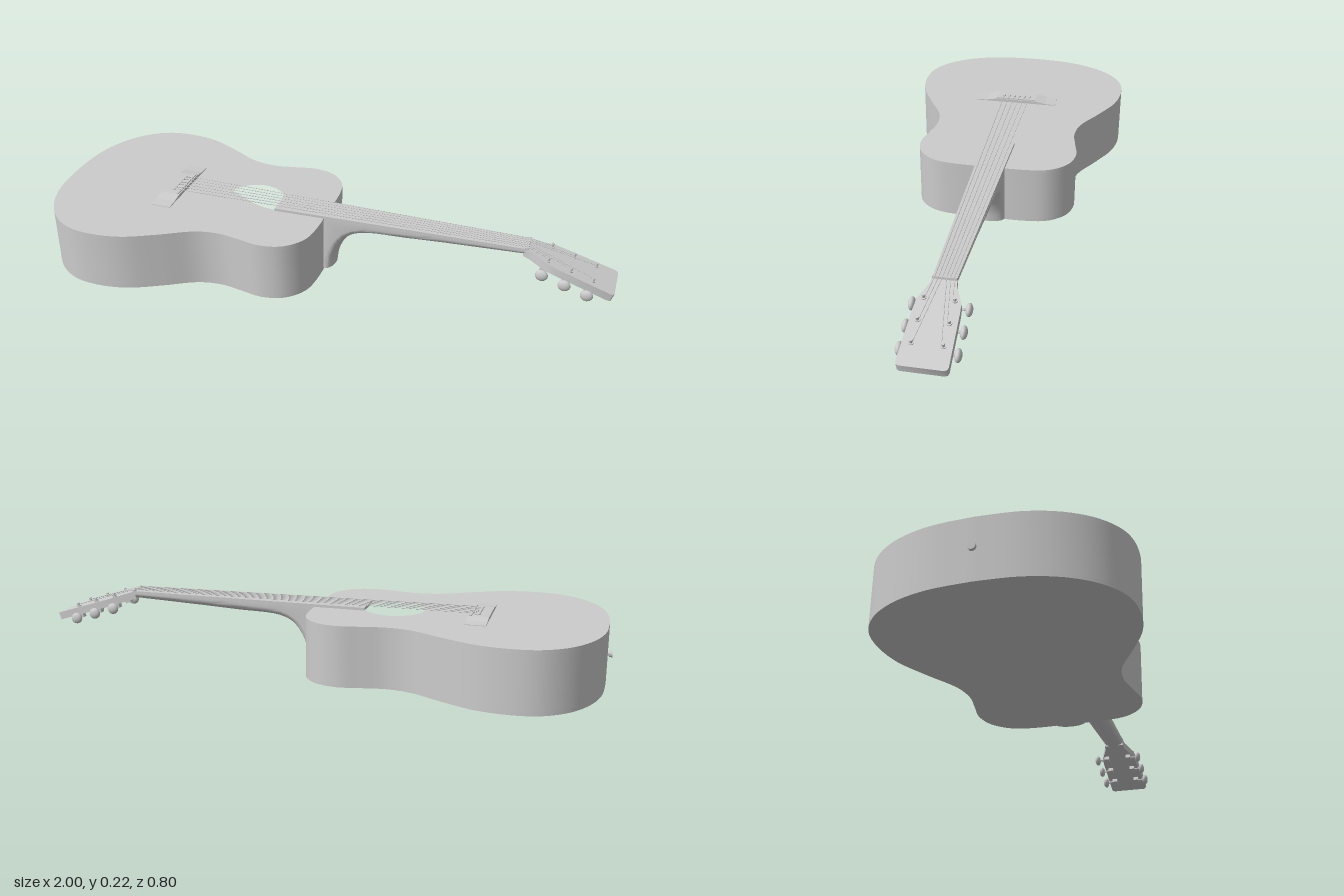
import * as THREE from 'three';
import { toCreasedNormals } from 'three/addons/utils/BufferGeometryUtils.js';

const material = new THREE.MeshStandardMaterial({ color: 0xcccccc });
const TOP = 0.207; // height of the soundboard

function add(parent, name, geometry, x = 0, y = 0, z = 0) {
  const mesh = new THREE.Mesh(geometry, material);
  mesh.name = name;
  mesh.position.set(x, y, z);
  parent.add(mesh);
  return mesh;
}

// Half outline of [x, z] pairs, mirrored across z = 0
const mirror = (half) =>
  [...half, ...half.filter((p) => p[1] > 1e-4).reverse().map(([x, z]) => [x, -z])]
    .map(([x, z]) => new THREE.Vector2(x, z));

// Flat plate lying in the xz plane, growing upwards from its base
function plate(points, thickness, holes = []) {
  const shape = new THREE.Shape(points);
  shape.holes.push(...holes);
  const geo = new THREE.ExtrudeGeometry(shape, { depth: thickness, bevelEnabled: false, curveSegments: 32 });
  return toCreasedNormals(geo.rotateX(-Math.PI / 2), 0.6);
}

// Thin cylinder between two points
function rod(parent, name, a, b, radius, sides = 8) {
  const from = new THREE.Vector3(...a), dir = new THREE.Vector3(...b).sub(from);
  const mesh = add(parent, name, new THREE.CylinderGeometry(radius, radius, dir.length(), sides));
  mesh.position.copy(from).addScaledVector(dir, 0.5);
  mesh.quaternion.setFromUnitVectors(new THREE.Vector3(0, 1, 0), dir.normalize());
  return mesh;
}

// Neck and heel: D-shaped sections from an outer point to an inner anchor
function neckGeometry() {
  const outer = new THREE.CatmullRomCurve3([
    [0.035, 0.004], [0.042, 0.05], [0.062, 0.1], [0.095, 0.14], [0.145, 0.16], [0.3, 0.168], [0.5, 0.1775], [0.705, 0.187],
  ].map(([x, y]) => new THREE.Vector3(x, y, 0)));
  const anchors = [
    [0.004, 0.004], [0.004, 0.06], [0.004, 0.13], [0.004, TOP], [0.11, TOP], [0.29, TOP], [0.5, TOP], [0.705, TOP],
  ];
  const steps = 42, arc = 12, count = arc + 3;
  const pos = [], index = [];
  for (let i = 0; i <= steps; i++) {
    const t = i / steps, f = t * (anchors.length - 1);
    const k = Math.min(Math.floor(f), anchors.length - 2), m = f - k;
    const P = outer.getPoint(t);
    const ax = THREE.MathUtils.lerp(anchors[k][0], anchors[k + 1][0], m);
    const ay = THREE.MathUtils.lerp(anchors[k][1], anchors[k + 1][1], m);
    const dist = Math.hypot(ax - P.x, ay - P.y);
    const depth = Math.min(0.028, dist * 0.85) / dist;
    const w = 0.053 - 0.016 * Math.max(0, P.x) / 0.705;
    pos.push(ax, ay, w);
    for (let j = 0; j <= arc; j++) {
      const a = (j / arc) * Math.PI, s = depth * (1 - Math.sin(a));
      pos.push(P.x + (ax - P.x) * s, P.y + (ay - P.y) * s, w * Math.cos(a));
    }
    pos.push(ax, ay, -w);
  }
  for (let i = 0; i < steps; i++) {
    for (let j = 0; j < count; j++) {
      const a = i * count + j, b = i * count + ((j + 1) % count);
      index.push(a, b, a + count, b, b + count, a + count);
    }
  }
  const end = steps * count;
  for (let j = 1; j < count - 1; j++) {
    index.push(0, j + 1, j, end, end + j, end + j + 1);
  }
  const geo = new THREE.BufferGeometry();
  geo.setAttribute('position', new THREE.Float32BufferAttribute(pos, 3));
  geo.setIndex(index);
  return toCreasedNormals(geo, 0.6);
}

export function createModel() {
  const guitar = new THREE.Group();
  guitar.name = 'guitar';

  // Hollow body: back, sides and soundboard with a round hole
  const curve = new THREE.SplineCurve([
    [-0.985, 0], [-0.976, 0.13], [-0.943, 0.24], [-0.885, 0.328], [-0.805, 0.384], [-0.71, 0.4],
    [-0.6, 0.384], [-0.49, 0.332], [-0.385, 0.275], [-0.3, 0.26], [-0.22, 0.272], [-0.14, 0.285],
    [-0.065, 0.265], [-0.012, 0.205], [0.004, 0.12], [0.004, 0],
  ].map((p) => new THREE.Vector2(...p)));
  const outline = mirror(curve.getPoints(75).map((p) => [p.x, Math.max(0, p.y)]));
  const inner = outline.map((p) => new THREE.Vector2(-0.5 + (p.x + 0.5) * 0.98, p.y * 0.98));
  const skin = 0.012;
  add(guitar, 'back', plate(outline, skin));
  add(guitar, 'sides', plate(outline, TOP - 2 * skin, [new THREE.Path(inner)]), 0, skin);
  const hole = new THREE.Path().absarc(-0.27, 0, 0.104, 0, Math.PI * 2, true);
  add(guitar, 'soundboard', plate(outline, skin, [hole]), 0, TOP - skin);

  // End pin
  rod(guitar, 'endPinStem', [-0.982, 0.105, 0], [-0.993, 0.105, 0], 0.007, 16);
  rod(guitar, 'endPin', [-0.99, 0.105, 0], [-1, 0.105, 0], 0.012, 16);

  // Bridge with thin wings, saddle and pins
  const wings = [[0.155, 0], [0.155, 0.002], [0.115, 0.004], [0.075, 0.011]];
  const profile = new THREE.Shape(mirror(wings.map(([z, y]) => [y, z])).map((p) => new THREE.Vector2(p.y, p.x)));
  const bridge = new THREE.ExtrudeGeometry(profile, { depth: 0.07, bevelEnabled: false });
  add(guitar, 'bridge', bridge.rotateY(Math.PI / 2), -0.602, TOP);
  add(guitar, 'saddle', new THREE.BoxGeometry(0.008, 0.012, 0.15), -0.54, TOP + 0.009);

  // Neck, fretboard and nut
  add(guitar, 'neck', neckGeometry());
  add(guitar, 'fretboard', plate(mirror([[-0.175, 0.056], [0.7, 0.037]]), 0.009), 0, TOP);
  add(guitar, 'nut', new THREE.BoxGeometry(0.01, 0.016, 0.074), 0.702, 0.212);

  // Headstock, tilted back from the nut
  const head = new THREE.Group();
  head.name = 'headstock';
  head.position.set(0.7, 0.214, 0);
  head.rotation.z = -0.3;
  guitar.add(head);
  const headOutline = mirror([[0, 0.037], [0.025, 0.041], [0.085, 0.066], [0.12, 0.069], [0.3, 0.075], [0.309, 0.072], [0.313, 0.064]]);
  add(head, 'headPlate', plate(headOutline, 0.027), 0, -0.027);

  // Tuners: post, gear housing, shaft and knob on both sides
  const tunerX = [0.078, 0.157, 0.235];
  for (const side of [-1, 1]) {
    for (const x of tunerX) {
      const z = side * 0.046;
      rod(head, 'tunerPost', [x, -0.03, z], [x, 0.014, z], 0.005, 12);
      rod(head, 'tunerCollar', [x, -0.001, z], [x, 0.003, z], 0.009, 16);
      add(head, 'gearHousing', new THREE.BoxGeometry(0.022, 0.016, 0.02), x, -0.034, z);
      rod(head, 'tunerShaft', [x, -0.036, z], [x, -0.036, side * 0.084], 0.004);
      add(head, 'tunerKnob', new THREE.SphereGeometry(1, 16, 12), x, -0.036, side * 0.085).scale.set(0.021, 0.02, 0.011);
    }
  }

  // Strings, each running from its pin over saddle and nut to its post
  for (let i = 0; i < 6; i++) {
    const s = i - 2.5, side = Math.sign(s);
    const zBridge = s * 0.02, zNut = s * 0.0115;
    const radius = 0.0011 + 0.0001 * i;
    const post = tunerX[Math.round(2.5 - Math.abs(s))];
    const pin = add(guitar, 'bridgePin', new THREE.SphereGeometry(0.005, 12, 8), -0.565, TOP + 0.013, zBridge);
    pin.scale.y = 0.9;
    rod(guitar, 'stringEnd', [-0.565, TOP + 0.011, zBridge], [-0.54, 0.223, zBridge], radius);
    rod(guitar, 'string', [-0.54, 0.223, zBridge], [0.702, 0.221, zNut], radius);
    rod(head, 'headString', [0, 0.0075, zNut], [post, 0.008, side * 0.041], radius);
  }
  return guitar;
}
